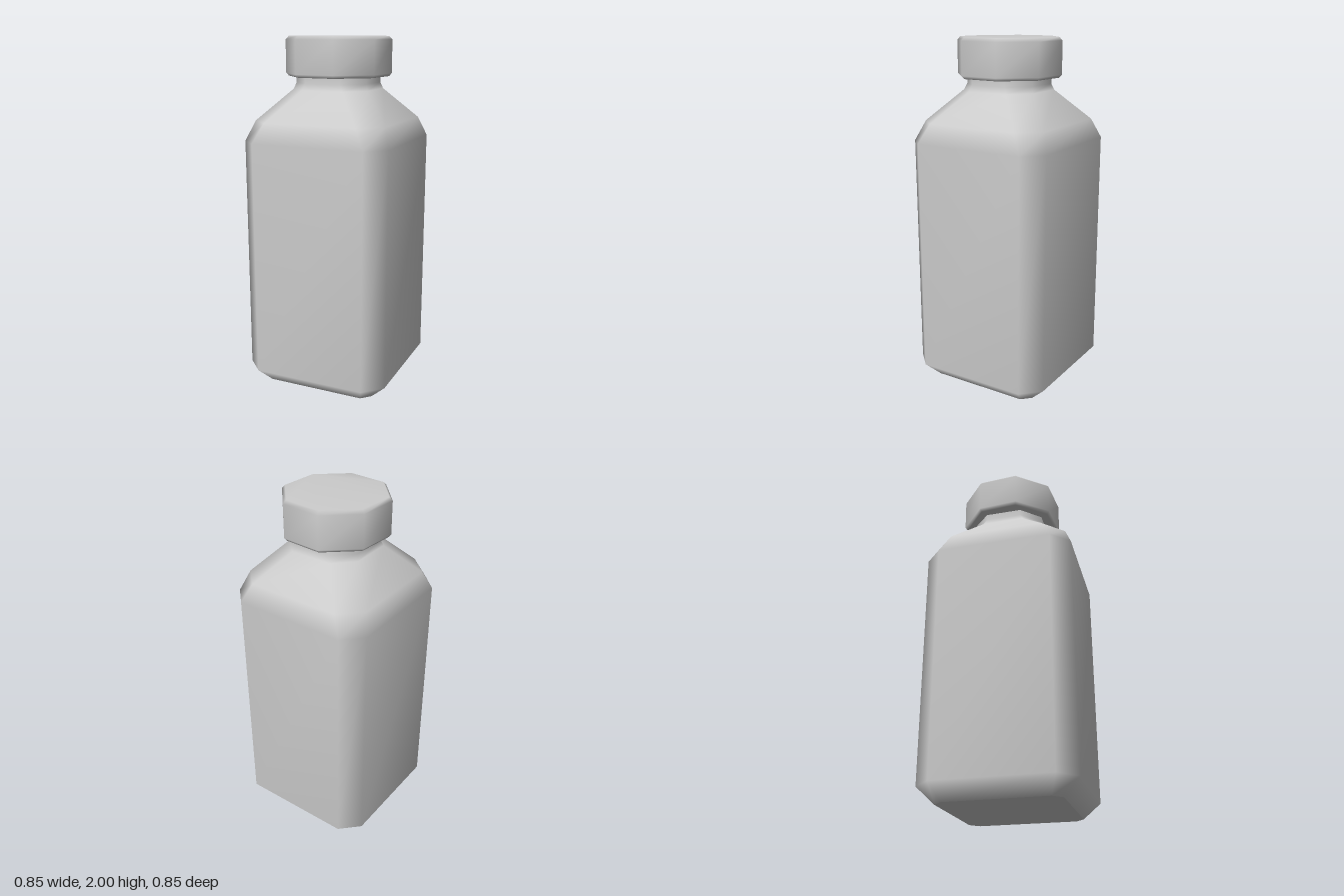
import * as THREE from 'three';

const material = new THREE.MeshStandardMaterial({ color: 0xcccccc });

// Square section with cut corners: half width h, flat side ends at c
const cutSquare = (h, c) =>
  [[h, -c], [h, c], [c, h], [-c, h], [-h, c], [-h, -c], [-c, -h], [c, -h]];

// Turned octagon section
const octagon = (r, turn) => Array.from({ length: 8 }, (_, i) => {
  const a = turn + (i * Math.PI) / 4;
  return [r * Math.cos(a), r * Math.sin(a)];
});

// Joins stacked sections, given as [y, points], into a smooth skin
function loft(rings, closeBottom, closeTop) {
  const pos = [], index = [], n = rings[0][1].length;
  for (const [y, pts] of rings) for (const [x, z] of pts) pos.push(x, y, z);
  for (let i = 0; i < rings.length - 1; i++) {
    for (let j = 0; j < n; j++) {
      const a = i * n + j, b = i * n + (j + 1) % n;
      index.push(a, a + n, b, b, a + n, b + n);
    }
  }
  const top = (rings.length - 1) * n;
  for (let j = 1; j < n - 1; j++) {
    if (closeBottom) index.push(0, j, j + 1);
    if (closeTop) index.push(top, top + j + 1, top + j);
  }
  const g = new THREE.BufferGeometry();
  g.setAttribute('position', new THREE.Float32BufferAttribute(pos, 3));
  g.setIndex(index);
  g.computeVertexNormals();
  return g;
}

export function createModel() {
  const group = new THREE.Group();
  const add = (name, geometry) => {
    const mesh = new THREE.Mesh(geometry, material);
    mesh.name = name;
    group.add(mesh);
  };

  // Body, shoulder and neck: [y, half width, end of flat side]
  const profile = [
    [0, 0.335, 0.285], [0.09, 0.427, 0.325], [1.43, 0.427, 0.325],
    [1.54, 0.387, 0.27], [1.71, 0.224, 0.12], [1.745, 0.213, 0.105], [1.8, 0.213, 0.105],
  ].map(([y, h, c]) => [y, cutSquare(h, c)]);
  add('bottleBody', loft(profile, false, false));

  // Flat base with a hard edge
  add('bottleBase', loft([profile[0]], true, false));

  // Bevelled eight-sided cap, turned slightly
  const turn = THREE.MathUtils.degToRad(26.6);
  const cap = [[1.78, 0.284], [1.797, 0.3], [1.981, 0.3], [2, 0.282]]
    .map(([y, r]) => [y, octagon(r, turn)]);
  add('cap', loft(cap, true, true));

  return group;
}
